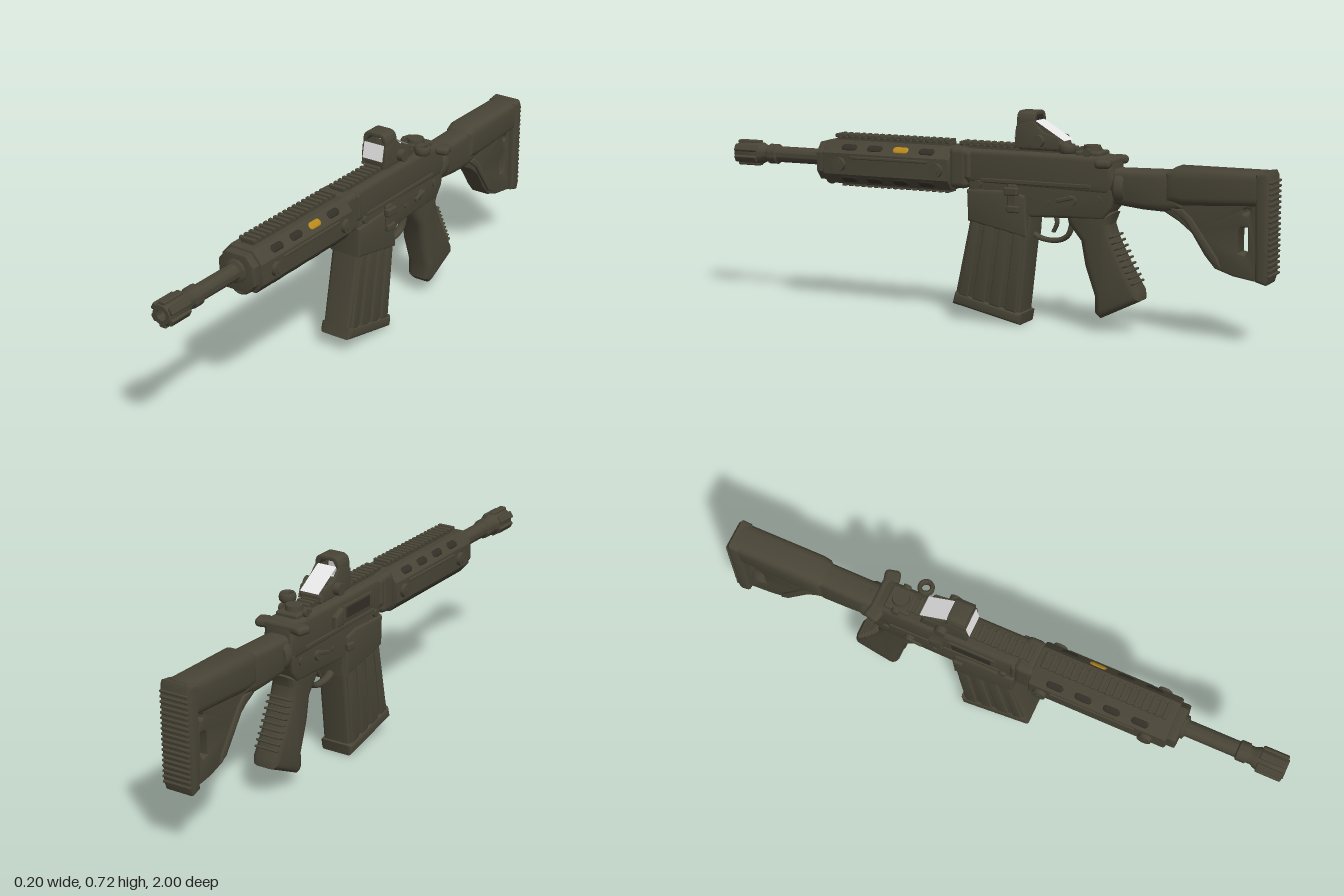
import * as THREE from 'three';
import { toCreasedNormals } from 'three/addons/utils/BufferGeometryUtils.js';
import { RoundedBoxGeometry } from 'three/addons/geometries/RoundedBoxGeometry.js';

export function createModel() {
  const model = new THREE.Group();
  const olive = new THREE.MeshStandardMaterial({ color: 0x484436 });
  olive.name = 'dark olive';
  const shade = new THREE.MeshStandardMaterial({ color: 0x322f27 });
  shade.name = 'recess';
  const amber = new THREE.MeshStandardMaterial({ color: 0xb88a1c });
  amber.name = 'amber';
  const glass = new THREE.MeshStandardMaterial({ color: 0xffffff, side: THREE.DoubleSide });
  glass.name = 'white glass';

  function add(name, geo, mat = olive, x = 0, y = 0, z = 0) {
    const m = new THREE.Mesh(geo, mat);
    m.name = name;
    m.position.set(x, y, z);
    model.add(m);
    return m;
  }
  const shapeOf = pts => new THREE.Shape(pts.map(p => new THREE.Vector2(p[0], p[1])));
  const extrude = (shape, w, b) => {
    const g = new THREE.ExtrudeGeometry(shape, {
      depth: w - 2 * b, bevelEnabled: b > 0, bevelSize: b, bevelThickness: b,
      bevelOffset: -b, bevelSegments: 3, curveSegments: 16,
    });
    return g.translate(0, 0, b - w / 2);
  };
  // Side profile in (z, y), extruded across x
  const side = (name, profile, w, b, x = 0) => {
    const shape = Array.isArray(profile) ? shapeOf(profile) : profile;
    const g = extrude(shape, w, b).rotateY(-Math.PI / 2);
    return add(name, toCreasedNormals(g, 0.7), olive, x);
  };
  const box = (name, w, h, d, x, y, z, r = 0.006, mat = olive) =>
    add(name, new RoundedBoxGeometry(w, h, d, 2, Math.min(r, w / 2.1, h / 2.1, d / 2.1)), mat, x, y, z);
  // Cylinder with its axis along x
  const pin = (name, r, w, x, y, z, sides = 20) =>
    add(name, new THREE.CylinderGeometry(r, r, w, sides).rotateZ(Math.PI / 2), olive, x, y, z);
  // Round part turned about the z axis from (radius, z) points
  const turned = (name, pts, y) => {
    const g = new THREE.LatheGeometry(pts.map(p => new THREE.Vector2(p[0], p[1])), 32).rotateX(Math.PI / 2);
    return add(name, toCreasedNormals(g, 0.6), olive, 0, y, 0);
  };

  // Barrel and muzzle
  const axis = 0.52;
  turned('barrel', [[0.04, 0.55], [0.04, 0.65], [0.028, 0.655], [0.028, 0.83], [0.035, 0.835], [0.035, 0.865],
    [0.03, 0.87], [0.03, 0.885], [0.038, 0.9], [0.038, 0.99], [0.032, 1], [0.018, 1], [0.016, 0.9], [0, 0.9]], axis);
  for (let i = 0; i < 6; i++) {
    const a = (i + 0.5) * Math.PI / 3;
    const prong = box('muzzleProng', 0.026, 0.014, 0.09, Math.cos(a) * 0.038, axis + Math.sin(a) * 0.038, 0.951, 0.005);
    prong.rotation.z = a - Math.PI / 2;
  }

  // Eight-sided handguard
  const oct = [[-0.05, 0.44], [0.05, 0.44], [0.08, 0.475], [0.08, 0.548], [0.045, 0.588], [-0.045, 0.588], [-0.08, 0.548], [-0.08, 0.475]];
  add('handguard', toCreasedNormals(extrude(shapeOf(oct), 0.49, 0.008), 0.5), olive, 0, 0, 0.365);
  const collar = extrude(shapeOf(oct.map(([x, y]) => [x * 0.86, axis + (y - axis) * 0.88])), 0.04, 0.006);
  add('handguardNose', toCreasedNormals(collar, 0.5), olive, 0, 0, 0.62);
  box('handguardRear', 0.13, 0.14, 0.07, 0, 0.52, 0.095, 0.02);
  for (const s of [-1, 1]) {
    for (const z of [0.54, 0.165]) {
      pin('handguardBolt', 0.024, 0.018, s * 0.086, 0.51, z);
      pin('boltHead', 0.014, 0.006, s * 0.095, 0.51, z, 6);
    }
    // Oblong vents on the sloping faces
    for (const top of [true, false]) for (let i = 0; i < 4; i++) {
      const z = 0.51 - i * 0.1;
      const oblong = new THREE.CapsuleGeometry(0.013, 0.034, 4, 12).rotateX(Math.PI / 2).scale(1, 0.3, 1);
      const lit = top && s === 1 && i === 2;
      const vent = add(lit ? 'amberInsert' : 'vent', oblong, lit ? amber : shade, s * (top ? 0.0625 : 0.065), top ? 0.568 : 0.4575, z);
      vent.rotation.z = s * (top ? -0.85 : -2.28);
    }
    box('sideRib', 0.008, 0.01, 0.3, s * 0.081, 0.535, 0.35, 0.003);
  }

  // Top and bottom rails
  const rail = (name, z0, z1, y, dir) => {
    box(name, 0.05, 0.016, z1 - z0, 0, y, (z0 + z1) / 2, 0.003);
    for (let z = z0 + 0.012; z < z1; z += 0.025)
      box(name + 'Tooth', 0.062, 0.013, 0.014, 0, y + dir * 0.011, z, 0.003);
  };
  rail('frontRail', 0.14, 0.58, 0.592, 1);
  rail('receiverRail', -0.34, 0.1, 0.59, 1);
  rail('lowerRail', 0.14, 0.56, 0.445, -1);

  // Sling loop below the nose
  const loop = new THREE.TorusGeometry(0.024, 0.008, 8, 20).scale(1.1, 0.8, 1);
  add('slingLoop', loop, olive, 0, 0.453, 0.615);

  // Receiver
  side('upperReceiver', [[0.07, 0.47], [0.07, 0.585], [-0.43, 0.585], [-0.46, 0.565], [-0.47, 0.5], [-0.45, 0.46]], 0.115, 0.018);
  side('lowerReceiver', [[0.06, 0.49], [0.055, 0.345], [-0.165, 0.3], [-0.17, 0.37], [-0.3, 0.375], [-0.43, 0.38],
    [-0.46, 0.42], [-0.47, 0.48]], 0.108, 0.01);
  side('magazineWell', [[0.062, 0.45], [0.058, 0.343], [-0.16, 0.3], [-0.155, 0.44], [-0.1, 0.455]], 0.124, 0.01);
  box('receiverFrontBand', 0.128, 0.1, 0.03, 0, 0.53, 0.06, 0.015);
  for (const s of [-1, 1]) {
    box('receiverRidge', 0.008, 0.014, 0.4, s * 0.058, 0.485, -0.19, 0.003);
    pin('frontPin', 0.014, 0.01, s * 0.06, 0.47, 0.02);
    pin('rearPin', 0.014, 0.01, s * 0.055, 0.445, -0.41);
    pin('triggerPin', 0.009, 0.008, s * 0.055, 0.425, -0.23);
    pin('selectorHub', 0.018, 0.016, s * 0.057, 0.435, -0.32);
    const lever = box('selectorLever', 0.01, 0.014, 0.06, s * 0.066, 0.44, -0.3, 0.004);
    lever.rotation.x = 0.25;
  }
  // Bolt catch on the left, port and release on the right
  box('boltCatchPlate', 0.014, 0.085, 0.035, 0.064, 0.435, -0.11);
  box('boltCatchPaddle', 0.024, 0.028, 0.05, 0.072, 0.455, -0.11);
  box('boltCatchFoot', 0.02, 0.024, 0.045, 0.068, 0.395, -0.115);
  box('ejectionCover', 0.008, 0.055, 0.17, -0.058, 0.53, -0.09, 0.004);
  box('portRecess', 0.006, 0.038, 0.14, -0.061, 0.53, -0.09, 0.002, shade);
  box('magazineRelease', 0.018, 0.028, 0.035, -0.062, 0.405, -0.14);
  side('brassDeflector', [[-0.19, 0.5], [-0.195, 0.56], [-0.24, 0.54], [-0.24, 0.5]], 0.03, 0.006, -0.06);

  // Charging handle
  box('chargingHandle', 0.13, 0.03, 0.05, 0, 0.565, -0.435, 0.012);
  for (const s of [-1, 1]) {
    const wing = box('chargingWing', 0.05, 0.03, 0.055, s * 0.07, 0.565, -0.437, 0.014);
    wing.rotation.y = s * 0.25;
  }
  // Rear sight drum
  add('rearSightDrum', new THREE.CylinderGeometry(0.028, 0.032, 0.035, 20), olive, 0, 0.598, -0.37);
  box('rearSightBase', 0.085, 0.022, 0.09, 0, 0.588, -0.37, 0.008);
  for (const s of [-1, 1]) pin('rearSightKnob', 0.014, 0.014, s * 0.046, 0.595, -0.37);

  // Reflex sight
  box('sightMount', 0.085, 0.03, 0.16, 0, 0.607, -0.2, 0.008);
  const hood = new THREE.Shape();
  hood.moveTo(-0.047, 0.605).lineTo(0.047, 0.605).lineTo(0.047, 0.69);
  hood.quadraticCurveTo(0.045, 0.72, 0.02, 0.721).lineTo(-0.02, 0.721).quadraticCurveTo(-0.045, 0.72, -0.047, 0.69);
  const opening = shapeOf([[-0.036, 0.627], [-0.036, 0.685], [-0.022, 0.706], [0.022, 0.706], [0.036, 0.685], [0.036, 0.627]]);
  hood.holes.push(opening);
  add('sightHood', toCreasedNormals(extrude(hood, 0.065, 0.004), 0.5), olive, 0, 0, -0.15);
  for (const s of [-1, 1]) {
    side('sightCheek', [[-0.11, 0.6], [-0.115, 0.67], [-0.175, 0.69], [-0.215, 0.652], [-0.265, 0.64], [-0.28, 0.6]], 0.01, 0.002, s * 0.043);
    pin('sightKnob', 0.021, 0.022, s * 0.059, 0.625, -0.2);
  }
  const pane = (name, y0, z0, y1, z1, w) => {
    const p = add(name, new THREE.PlaneGeometry(w, Math.hypot(y1 - y0, z1 - z0)), glass, 0, (y0 + y1) / 2, (z0 + z1) / 2);
    p.rotation.x = Math.atan2(z1 - z0, y1 - y0);
  };
  pane('frontLens', 0.627, -0.105, 0.683, -0.116, 0.08);
  pane('rearLens', 0.627, -0.285, 0.69, -0.18, 0.072);
  const ring = new THREE.TorusGeometry(0.021, 0.008, 10, 24).rotateX(Math.PI / 2).scale(1, 2, 1);
  add('pullRing', ring, olive, 0.067, 0.608, -0.31);

  // Magazine with raised ribs, leaning forward toward its foot
  side('magazine', [[0.05, 0.37], [0.112, 0.08], [-0.13, 0.03], [-0.165, 0.34]], 0.105, 0.012);
  const edge = t => [[0.054 - 0.215 * t, 0.36 - 0.04 * t], [0.108 - 0.24 * t, 0.09 - 0.052 * t]];
  for (const [a, b] of [[0.05, 0.2], [0.27, 0.46], [0.53, 0.7], [0.77, 0.95]])
    side('magazineRib', [...edge(a), ...edge(b).reverse()], 0.118, 0.006);
  side('magazineFoot', [[0.108, 0.096], [0.119, 0.055], [-0.133, 0.001], [-0.14, 0.04]], 0.122, 0.012);

  // Trigger and guard
  const tube = (name, pts, r) => {
    const c = new THREE.CatmullRomCurve3(pts.map(p => new THREE.Vector3(0, p[1], p[0])));
    return add(name, new THREE.TubeGeometry(c, 20, r, 8).scale(1.7, 1, 1));
  };
  tube('triggerGuard', [[-0.155, 0.31], [-0.19, 0.293], [-0.25, 0.291], [-0.285, 0.31], [-0.305, 0.37]], 0.009);
  tube('trigger', [[-0.235, 0.39], [-0.245, 0.35], [-0.232, 0.318]], 0.007);

  // Pistol grip
  side('grip', [[-0.29, 0.4], [-0.3, 0.355], [-0.345, 0.3], [-0.36, 0.22], [-0.395, 0.12], [-0.395, 0.065], [-0.415, 0.046],
    [-0.555, 0.115], [-0.553, 0.145], [-0.505, 0.225], [-0.462, 0.31], [-0.445, 0.36], [-0.46, 0.4]], 0.096, 0.024);
  for (let i = 0; i < 9; i++) {
    const t = i / 8;
    const rib = box('gripRib', 0.088, 0.008, 0.06, 0, 0.315 - 0.15 * t, -0.438 - 0.075 * t, 0.004);
    rib.rotation.x = 0.35;
  }

  // Stock: neck, cheek tube and lower web with openings
  turned('stockCollar', [[0, -0.5], [0.058, -0.5], [0.062, -0.49], [0.062, -0.47], [0.05, -0.455], [0, -0.455]], 0.485);
  side('stockNeck', [[-0.45, 0.545], [-0.68, 0.55], [-0.7, 0.43], [-0.64, 0.415], [-0.56, 0.418], [-0.45, 0.43]], 0.094, 0.025);
  side('stockTube', [[-0.64, 0.545], [-0.675, 0.565], [-0.97, 0.565], [-0.97, 0.455], [-0.7, 0.44], [-0.64, 0.45]], 0.112, 0.028);
  const web = shapeOf([[-0.63, 0.46], [-0.64, 0.415], [-0.685, 0.39], [-0.73, 0.355], [-0.775, 0.285], [-0.81, 0.245], [-0.87, 0.225],
    [-0.965, 0.21], [-0.965, 0.5]]);
  web.holes.push(shapeOf([[-0.885, 0.3], [-0.885, 0.37], [-0.895, 0.385], [-0.918, 0.385], [-0.92, 0.31], [-0.91, 0.295]]));
  const eye = new THREE.Path();
  eye.absarc(-0.913, 0.435, 0.012, 0, Math.PI * 2);
  web.holes.push(eye);
  side('stockWeb', web, 0.07, 0.004);
  for (const s of [-1, 1])
    side('stockBrace', [[-0.66, 0.43], [-0.71, 0.39], [-0.8, 0.265], [-0.83, 0.25], [-0.82, 0.28], [-0.73, 0.405], [-0.7, 0.43]], 0.014, 0.004, s * 0.036);

  // Ribbed butt pad
  side('buttPad', [[-0.945, 0.56], [-0.95, 0.215], [-0.985, 0.205], [-0.993, 0.23], [-0.993, 0.55], [-0.985, 0.566]], 0.114, 0.012);
  for (let y = 0.235; y < 0.55; y += 0.0175)
    box('padRib', 0.104, 0.009, 0.016, 0, y, -0.992, 0.003);
  return model;
}
